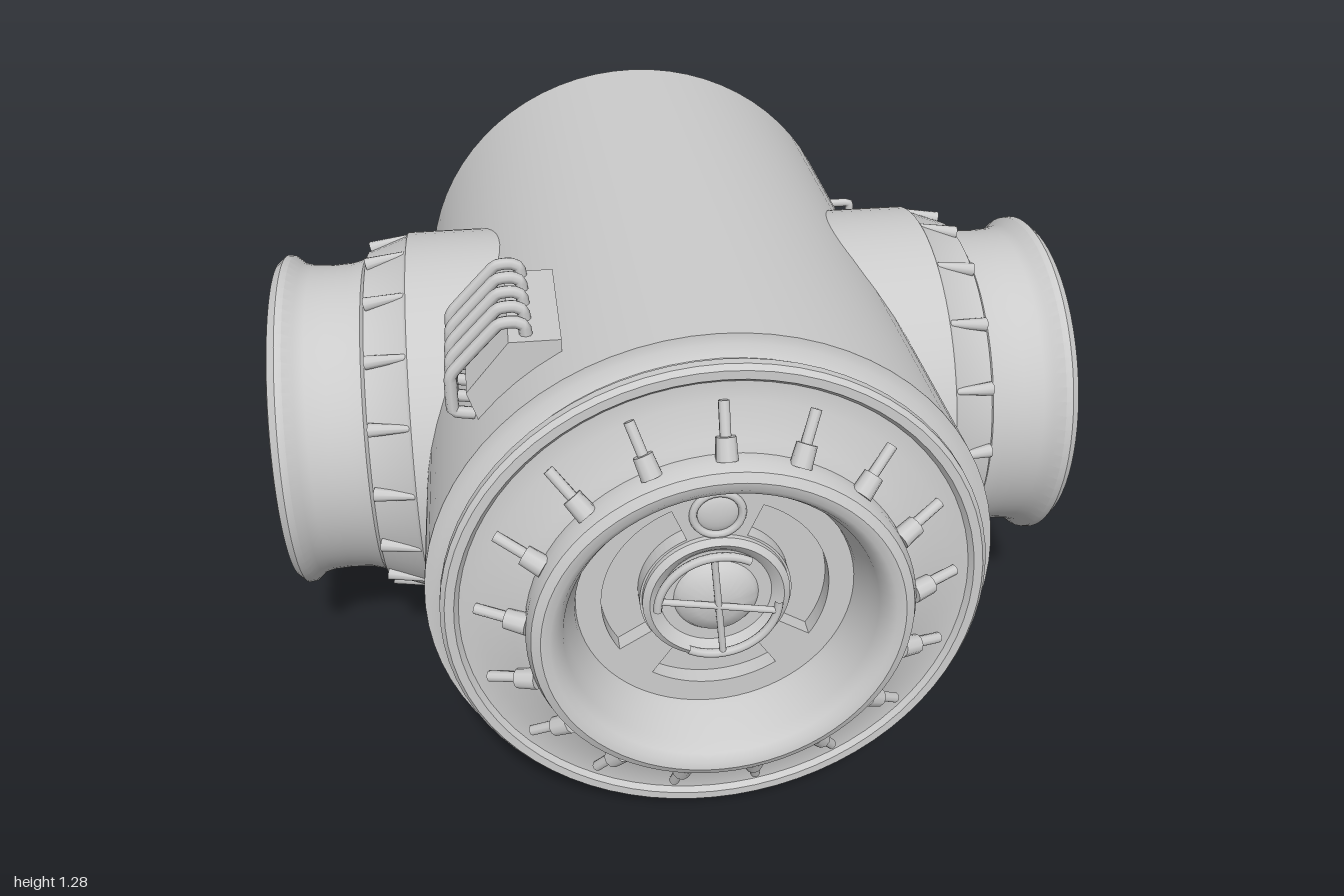
import * as THREE from 'three';
import { toCreasedNormals } from 'three/addons/utils/BufferGeometryUtils.js';

const material = new THREE.MeshStandardMaterial({ color: 0xcccccc });
const V = (x, y, z) => new THREE.Vector3(x, y, z);
const BOLTS = 17;

function add(parent, name, geometry) {
  const mesh = new THREE.Mesh(geometry, material);
  mesh.name = name;
  parent.add(mesh);
  return mesh;
}

// Profile of [radius, z] pairs turned about the z axis
function turned(points) {
  const g = new THREE.LatheGeometry(points.map(p => new THREE.Vector2(p[0], p[1])), 72);
  return toCreasedNormals(g.rotateX(Math.PI / 2), 0.6);
}

// Straight tapered rod between two points
function rod(parent, name, a, b, ra, rb = ra, sides = 10) {
  const d = b.clone().sub(a);
  const mesh = add(parent, name, new THREE.CylinderGeometry(rb, ra, d.length(), sides));
  mesh.position.copy(a).addScaledVector(d, 0.5);
  mesh.quaternion.setFromUnitVectors(V(0, 1, 0), d.normalize());
  return mesh;
}

// Bent bar with slightly rounded corners
function bar(parent, name, points, r) {
  const curve = new THREE.CatmullRomCurve3(points, false, 'catmullrom', 0.15);
  return add(parent, name, new THREE.TubeGeometry(curve, 48, r, 8));
}

function sector(a0, a1, r0, r1) {
  const p = new THREE.Path();
  const t = Math.PI / 180;
  p.absarc(0, 0, r1, a0 * t, a1 * t, false);
  p.absarc(0, 0, r0, a1 * t, a0 * t, true);
  p.closePath();
  return p;
}

// Funnel shared by all four openings
const funnel = [[0.36, 0.985], [0.345, 0.96], [0.335, 0.92], [0.315, 0.88], [0.305, 0.82], [0, 0.82]];

// Spoked plate and hub at the bottom of each funnel
function addHatch(parent) {
  const hatch = new THREE.Group();
  hatch.name = 'hatch';
  parent.add(hatch);

  const shape = new THREE.Shape().absarc(0, 0, 0.312, 0, Math.PI * 2, false);
  shape.holes.push(sector(236, 304, 0.17, 0.255), sector(113, 212, 0.17, 0.255), sector(-32, 67, 0.17, 0.255));
  const plate = new THREE.ExtrudeGeometry(shape, { depth: 0.04, bevelEnabled: false, curveSegments: 32 });
  add(hatch, 'spokedPlate', toCreasedNormals(plate, 0.6)).position.z = 0.82;

  add(hatch, 'hub', turned([[0.165, 0.83], [0.165, 0.872], [0.15, 0.882], [0.135, 0.872],
    [0.125, 0.862], [0.095, 0.862], [0.085, 0.875], [0.05, 0.89], [0, 0.895]]));
  add(hatch, 'portRing', new THREE.TorusGeometry(0.054, 0.009, 8, 28)).position.set(0, 0.222, 0.862);
  const port = add(hatch, 'port', new THREE.SphereGeometry(0.05, 24, 10));
  port.position.set(0, 0.222, 0.855);
  port.scale.z = 0.3;

  // Curved grips and crossed bars
  for (const start of [1.05, 4.2]) {
    const grip = add(hatch, 'hubGrip', new THREE.TorusGeometry(0.135, 0.01, 8, 28, 2.1));
    grip.position.z = 0.9;
    grip.rotation.z = start;
  }
  rod(hatch, 'crossBar', V(-0.13, 0.025, 0.9), V(0.13, -0.025, 0.9), 0.008);
  rod(hatch, 'crossBar', V(-0.012, 0.13, 0.9), V(0.012, -0.13, 0.9), 0.008);
}

function aroundRing(build) {
  for (let i = 0; i < BOLTS; i++) {
    const a = Math.PI / 2 + (i * Math.PI * 2) / BOLTS;
    build((r, z) => V(r * Math.cos(a), r * Math.sin(a), z));
  }
}

// End cap of the main drum
function endCap() {
  const cap = new THREE.Group();
  cap.name = 'endCap';
  add(cap, 'capShell', turned([[0.637, 0.82], [0.615, 0.822], [0.592, 0.84], [0.59, 0.855], [0.605, 0.865],
    [0.605, 0.885], [0.595, 0.897], [0.575, 0.897], [0.565, 0.885], [0.52, 0.888], [0.45, 0.925],
    [0.425, 0.935], [0.425, 0.965], [0.415, 0.99], [0.395, 1], [0.375, 0.997], ...funnel]));
  aroundRing(p => {
    rod(cap, 'capBoltRod', p(0.42, 0.95), p(0.53, 0.9), 0.012);
    rod(cap, 'capBoltNut', p(0.42, 0.955), p(0.465, 0.934), 0.024, 0.022);
  });
  addHatch(cap);
  return cap;
}

// Flared arm at each side
function sideArm() {
  const arm = new THREE.Group();
  arm.name = 'sideArm';
  add(arm, 'armShell', turned([[0.475, 0.38], [0.475, 0.66], [0.465, 0.668], [0.43, 0.765], [0.412, 0.775],
    [0.403, 0.81], [0.4, 0.86], [0.403, 0.91], [0.41, 0.935], [0.43, 0.958], [0.432, 0.975],
    [0.415, 0.995], [0.395, 1], [0.375, 0.997], ...funnel]));
  aroundRing(p => {
    rod(arm, 'armBolt', p(0.462, 0.66), p(0.438, 0.76), 0.008, 0.018);
  });
  addHatch(arm);
  return arm;
}

export function createModel() {
  const model = new THREE.Group();
  model.name = 'pipeJunction';
  const body = new THREE.Group();
  body.name = 'body';
  body.position.y = 0.64;
  model.add(body);

  // Main drum
  add(body, 'mainDrum', turned([[0.6, -0.82], [0.638, -0.82], [0.638, 0.82], [0.6, 0.82]]));

  for (let i = 0; i < 4; i++) {
    const end = i % 2 ? sideArm() : endCap();
    end.rotation.y = (i * Math.PI) / 2;
    body.add(end);
  }

  // Slanted vent block with a row of bent bars
  const vent = new THREE.Group();
  vent.name = 'vent';
  model.add(vent);
  const side = new THREE.Shape([[-0.31, 1.0], [-0.31, 1.225], [-0.42, 1.225], [-0.515, 1.11], [-0.48, 1.0]]
    .map(p => new THREE.Vector2(p[0], p[1])));
  add(vent, 'ventBlock', new THREE.ExtrudeGeometry(side, { depth: 0.33, bevelEnabled: false })).position.z = 0.38;
  for (let i = 0; i < 5; i++) {
    const z = 0.4 + i * 0.069;
    bar(vent, 'ventBar', [V(-0.38, 1.2, z), V(-0.385, 1.245, z), V(-0.405, 1.255, z), V(-0.44, 1.25, z),
      V(-0.535, 1.15, z), V(-0.546, 1.13, z), V(-0.546, 1.05, z), V(-0.5, 1.04, z)], 0.014);
  }

  // Side panel between two upright handles
  const panel = new THREE.Group();
  panel.name = 'sidePanel';
  model.add(panel);
  add(panel, 'panelBlock', new THREE.BoxGeometry(0.12, 0.32, 0.19)).position.set(0.605, 0.65, -0.655);
  for (const z of [-0.53, -0.78]) {
    bar(panel, 'handle', [V(0.59, 0.83, z), V(0.67, 0.83, z), V(0.682, 0.815, z),
      V(0.682, 0.485, z), V(0.67, 0.47, z), V(0.59, 0.47, z)], 0.013);
  }
  return model;
}
